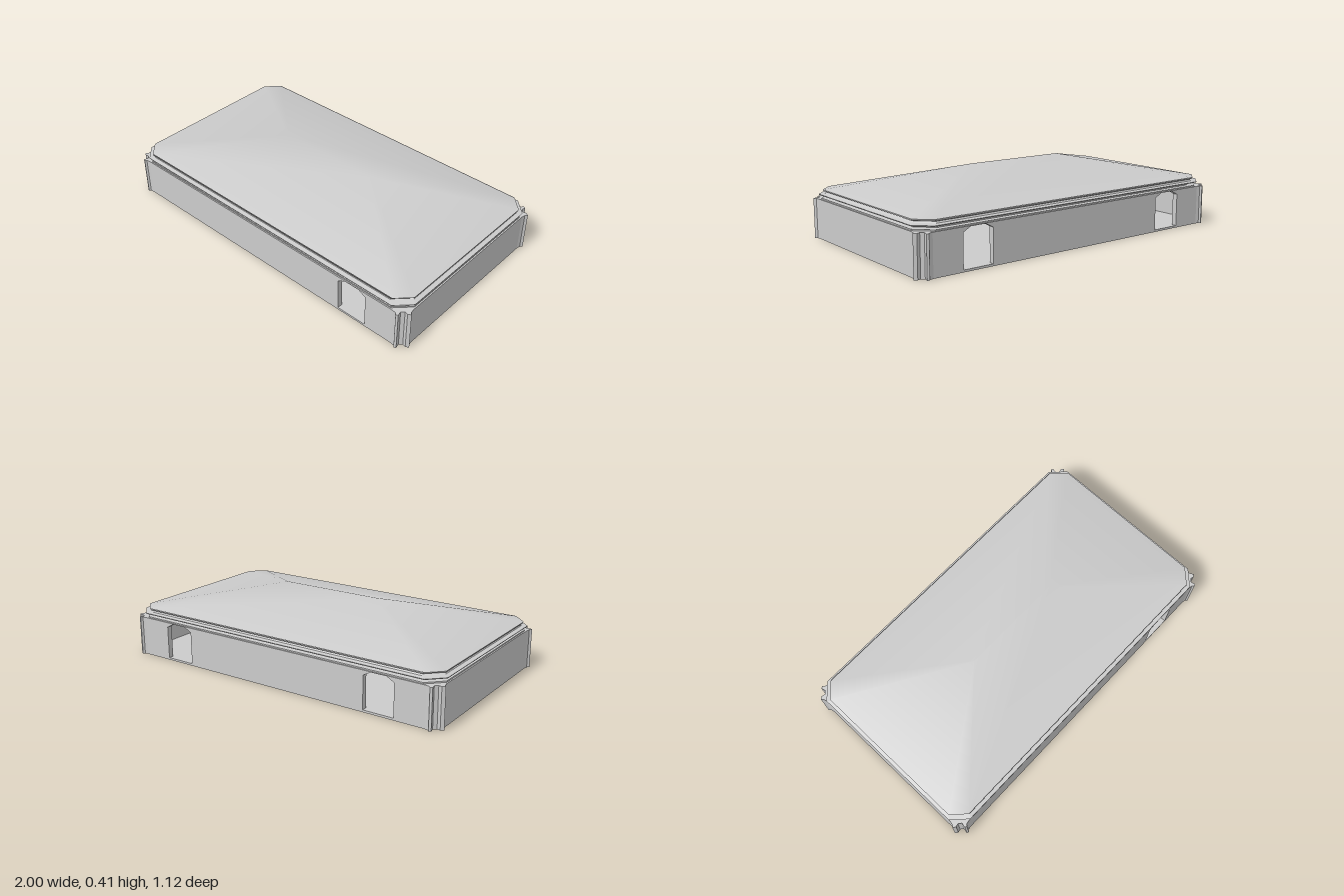
import * as THREE from 'three';

const flat = new THREE.MeshStandardMaterial({ color: 0xcccccc, flatShading: true, side: THREE.DoubleSide });
const smooth = new THREE.MeshStandardMaterial({ color: 0xcccccc });

const WALL_X = 0.985, WALL_Z = 0.547, WALL_TOP = 0.222, THICK = 0.03;

// Winged corner post in plan, as [x, z]
const CORNER = [
  [0.915, WALL_Z], [0.935, 0.551], [0.943, 0.561], [0.955, 0.556], [0.949, 0.53],
  [0.965, 0.516], [0.984, 0.521], [1.0, 0.51], [0.989, 0.497], [WALL_X, 0.475],
];

// Repeats one corner around the plan, counter-clockwise from above
function mirrorPlan(corner) {
  const back = [...corner].reverse();
  return [
    ...corner,
    ...back.map(([x, z]) => [x, -z]),
    ...corner.map(([x, z]) => [-x, -z]),
    ...back.map(([x, z]) => [-x, z]),
  ];
}

// Rectangle with chamfered corners
function octagon(hx, hz, c = 0.08) {
  return mirrorPlan([[hx - c, hz], [hx, hz - c]]);
}

// Upright prism from a plan
function prism(plan, y0, y1) {
  const shape = new THREE.Shape(plan.map(([x, z]) => new THREE.Vector2(x, -z)));
  return new THREE.ExtrudeGeometry(shape, { depth: y1 - y0, bevelEnabled: false })
    .rotateX(-Math.PI / 2).translate(0, y0, 0);
}

// Long wall with doorways centred on the given x positions
function longWall(doors) {
  const wall = new THREE.Shape();
  wall.moveTo(-0.915, 0).lineTo(0.915, 0).lineTo(0.915, WALL_TOP).lineTo(-0.915, WALL_TOP).closePath();
  for (const x of doors) {
    const hole = new THREE.Path();
    const pts = [[-0.088, 0.012], [-0.088, 0.195], [-0.045, 0.219], [0.045, 0.219], [0.088, 0.195], [0.088, 0.012]];
    hole.setFromPoints(pts.map(([px, py]) => new THREE.Vector2(x + px, py)));
    hole.closePath();
    wall.holes.push(hole);
  }
  return new THREE.ExtrudeGeometry(wall, { depth: THICK, bevelEnabled: false });
}

// Skin over stacked eight-sided rings
function loft(rings) {
  const pos = [], idx = [];
  for (const [y, inset] of rings)
    for (const [x, z] of octagon(0.987 - inset, 0.55 - inset)) pos.push(x, y, z);
  for (let r = 0; r < rings.length - 1; r++)
    for (let i = 0; i < 8; i++) {
      const a = r * 8 + i, b = r * 8 + (i + 1) % 8;
      idx.push(a, b, b + 8, a, b + 8, a + 8);
    }
  const g = new THREE.BufferGeometry();
  g.setAttribute('position', new THREE.Float32BufferAttribute(pos, 3));
  g.setIndex(idx);
  g.computeVertexNormals();
  return g;
}

// Hipped roof from chamfered eaves up to a short ridge
function hippedRoof() {
  const pos = [], idx = [];
  const eave = octagon(0.97, 0.53, 0.075);
  for (const [x, z] of eave) pos.push(x, 0.275, z);
  pos.push(0.3, 0.41, 0, -0.3, 0.41, 0);
  const ridge = (i) => (eave[i][0] > 0 ? 8 : 9);
  for (let i = 0; i < 8; i++) {
    const j = (i + 1) % 8;
    idx.push(i, j, ridge(j));
    if (ridge(i) !== ridge(j)) idx.push(i, ridge(j), ridge(i));
  }
  const g = new THREE.BufferGeometry();
  g.setAttribute('position', new THREE.Float32BufferAttribute(pos, 3));
  g.setIndex(idx);
  g.computeVertexNormals();
  return g;
}

export function createModel() {
  const model = new THREE.Group();
  model.name = 'building';
  const add = (name, geometry, material = flat) => {
    const mesh = new THREE.Mesh(geometry, material);
    mesh.name = name;
    model.add(mesh);
    return mesh;
  };

  // Floor slab follows the whole wall plan
  add('floor', prism(mirrorPlan(CORNER), 0, 0.011));

  // One doorway in front, two at the back
  add('frontWall', longWall([0.656]).translate(0, 0, WALL_Z - THICK));
  add('backWall', longWall([-0.656, 0.656]).translate(0, 0, -WALL_Z));

  // Plain end walls and winged corner posts
  const post = [...CORNER, [WALL_X - THICK, 0.475], [0.915, WALL_Z - THICK]];
  for (const sx of [1, -1]) {
    const side = sx > 0 ? 'left' : 'right';
    add(side + 'Wall', new THREE.BoxGeometry(THICK, WALL_TOP, 0.95)
      .translate(sx * (WALL_X - THICK / 2), WALL_TOP / 2, 0));
    for (const sz of [1, -1])
      add(side + (sz > 0 ? 'Front' : 'Back') + 'Post',
        prism(post.map(([x, z]) => [sx * x, sz * z]), 0, WALL_TOP));
  }

  // Ceiling and stepped cornice, as [height, inset]
  add('ceiling', prism(octagon(0.975, 0.538), 0.221, 0.224));
  add('cornice', loft([
    [0.222, 0.01], [0.229, 0.01], [0.23, 0.04], [0.239, 0.038], [0.246, 0.002], [0.251, 0],
    [0.255, 0.025], [0.262, 0.032], [0.267, 0.02], [0.275, 0.018],
  ]));

  add('roof', hippedRoof(), smooth);
  return model;
}
